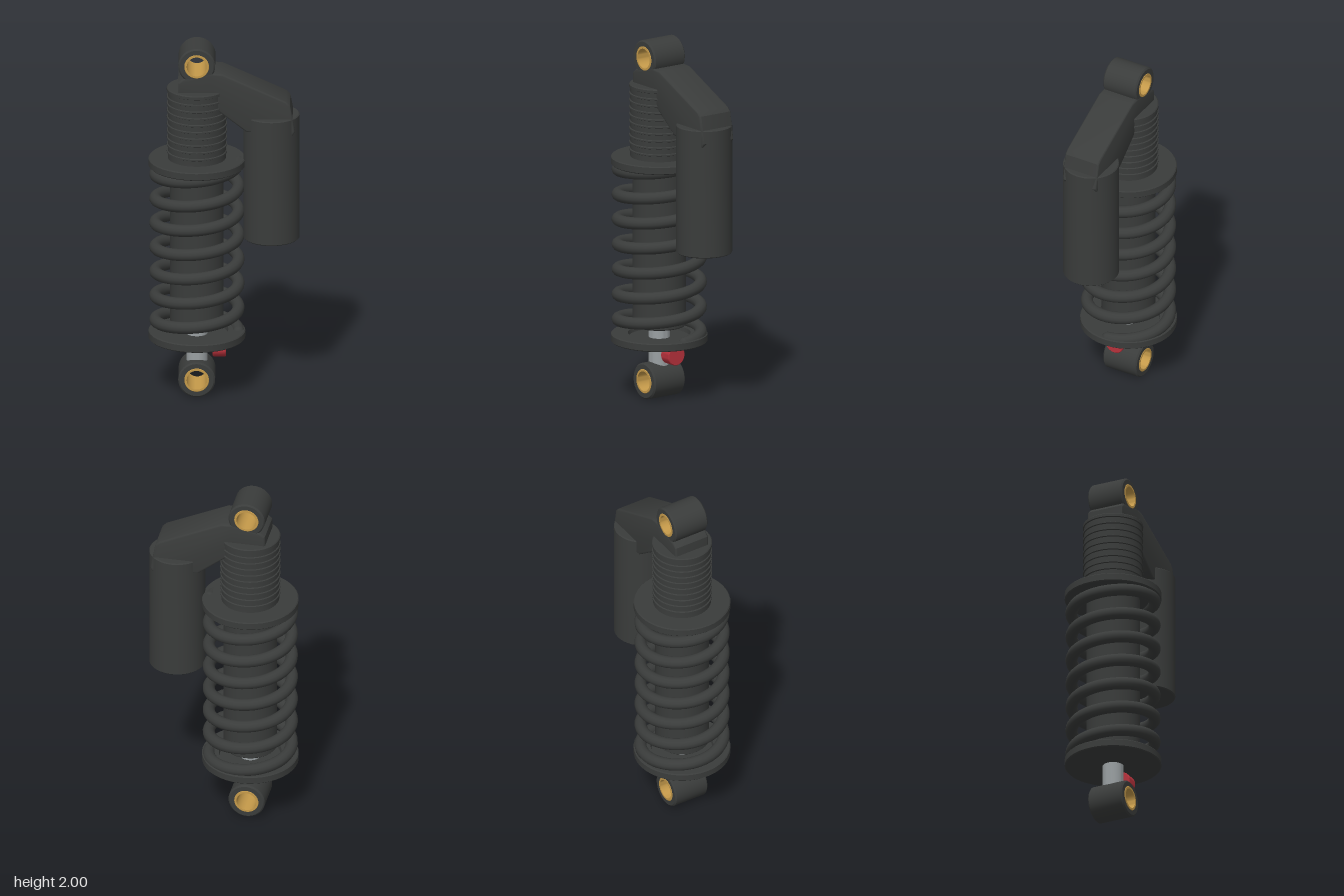
import * as THREE from 'three';
import { toCreasedNormals } from 'three/addons/utils/BufferGeometryUtils.js';

const AXIS = -0.147; // x of the damper axis
const paint = (color) => new THREE.MeshStandardMaterial({ color });
const dark = paint(0x3a3c3b);
const steel = paint(0x9aa0a2);
const brass = paint(0xc59a4a);
const red = paint(0xb8323c);

class Helix extends THREE.Curve {
  constructor(radius, y0, y1, turns) {
    super();
    Object.assign(this, { radius, y0, y1, turns });
  }
  getPoint(t, target = new THREE.Vector3()) {
    const a = t * this.turns * Math.PI * 2;
    return target.set(this.radius * Math.cos(a), this.y0 + (this.y1 - this.y0) * t, -this.radius * Math.sin(a));
  }
}

export function createModel() {
  const model = new THREE.Group();
  model.name = 'shockAbsorber';

  function add(name, geometry, material, x = AXIS, y = 0, z = 0) {
    const mesh = new THREE.Mesh(geometry, material);
    mesh.name = name;
    mesh.position.set(x, y, z);
    model.add(mesh);
    return mesh;
  }
  // Turned part from [radius, height] pairs, listed bottom to top on the outside
  function turned(points, segments = 40) {
    const profile = points.map(([r, y]) => new THREE.Vector2(r, y));
    return toCreasedNormals(new THREE.LatheGeometry(profile, segments), 0.6);
  }
  // Solid cylinder with small chamfers
  const rod = (r, y0, y1, c = 0.006) =>
    turned([[0, y0], [r - c, y0], [r, y0 + c], [r, y1 - c], [r - c, y1], [0, y1]]);
  // Hollow sleeve with chamfered outer edges
  const sleeve = (inner, outer, half, c) => turned([
    [inner, -half], [outer - c, -half], [outer, -half + c],
    [outer, half - c], [outer - c, half], [inner, half], [inner, -half],
  ]);

  // Mounting eyes with brass bushings
  for (const [end, y] of [['lower', 0.1], ['upper', 1.9]]) {
    add(end + 'Eye', sleeve(0.066, 0.1, 0.104, 0.008), dark, AXIS, y).rotation.x = Math.PI / 2;
    add(end + 'Bushing', sleeve(0.054, 0.068, 0.106, 0.003), brass, AXIS, y).rotation.x = Math.PI / 2;
  }

  // Damper shaft and body
  add('shaft', rod(0.057, 0.17, 0.45), steel);
  add('damperBody', rod(0.145, 0.4, 1.4), dark);

  // Threaded collar
  const thread = [[0, 1.33], [0.158, 1.33]];
  for (let i = 0; i < 10; i++) {
    const y = 1.35 + i * 0.039;
    thread.push([0.157, y], [0.157, y + 0.026], [0.163, y + 0.029], [0.163, y + 0.036]);
  }
  thread.push([0.163, 1.745], [0.158, 1.75], [0, 1.75]);
  add('threadedCollar', turned(thread), dark);

  // Spring seats
  add('upperSpringSeat', rod(0.262, 1.3, 1.345, 0.005), dark);
  add('lowerSpringSeat', turned([
    [0, 0.312], [0.257, 0.312], [0.262, 0.317], [0.262, 0.352], [0.257, 0.357],
    [0.17, 0.357], [0.165, 0.335], [0, 0.335],
  ]), dark);

  // Coil spring with closed ends
  const coil = new Helix(0.225, 0.342, 1.318, 7);
  add('spring', new THREE.TubeGeometry(coil, 280, 0.033, 12, false), dark);
  for (const [t, turn] of [[0, Math.PI / 2], [1, -Math.PI / 2]]) {
    const p = coil.getPoint(t);
    const cap = add('springEnd', new THREE.SphereGeometry(0.033, 12, 6, 0, Math.PI * 2, 0, Math.PI / 2),
      dark, AXIS + p.x, p.y, p.z);
    cap.rotation.x = turn;
  }

  // Rebound knob
  add('adjusterKnob', rod(0.055, -0.036, 0.036, 0.004), red, -0.025, 0.258).rotation.z = -Math.PI / 2;

  // Bridge from the upper eye to the reservoir
  const bevel = 0.01;
  const outline = new THREE.Shape([
    [-0.24, 1.73], [-0.238, 1.8], [-0.215, 1.82], [-0.16, 1.828], [-0.07, 1.85],
    [-0.01, 1.846], [0.33, 1.69], [0.348, 1.672], [0.374, 1.53], [0.366, 1.515],
    [0.125, 1.535], [-0.02, 1.648], [-0.06, 1.73],
  ].map(([x, y]) => new THREE.Vector2(x, y)));
  const bridge = new THREE.ExtrudeGeometry(outline, {
    depth: 0.19, bevelEnabled: true, bevelThickness: bevel, bevelSize: bevel, bevelSegments: 3,
  });
  add('bridge', toCreasedNormals(bridge, 0.6), dark, 0, 0, -0.095);

  // Reservoir
  add('reservoir', rod(0.152, 0.888, 1.6, 0.005), dark, 0.256);

  return model;
}
